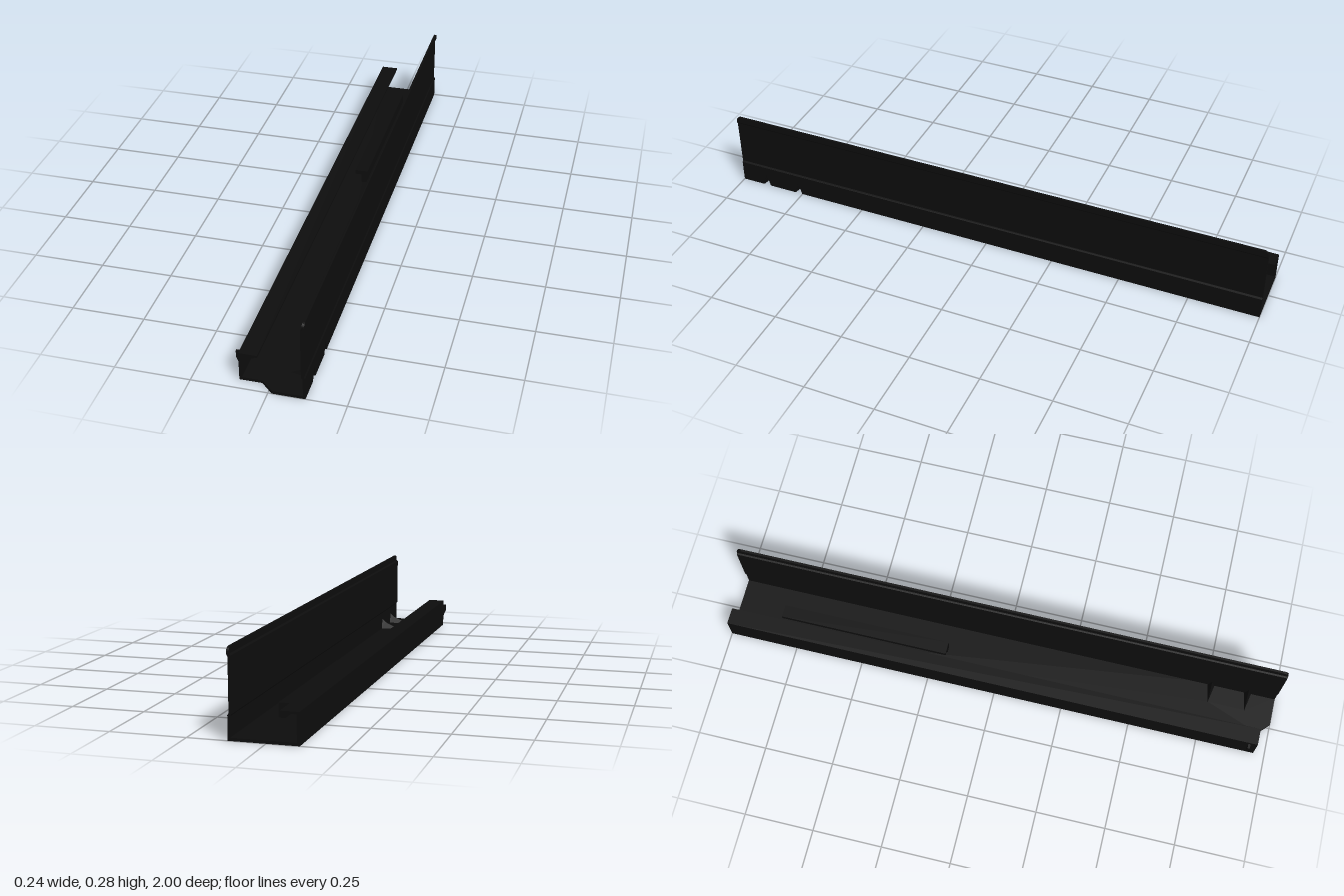
import * as THREE from 'three';

const black = new THREE.MeshStandardMaterial({ color: 0x0d0d0d });
black.name = 'black';
const blackSheet = black;
blackSheet.side = THREE.DoubleSide;

const shapeOf = (pts) => new THREE.Shape(pts.map(([a, b]) => new THREE.Vector2(a, b)));
const extrude = (shape, depth) =>
  new THREE.ExtrudeGeometry(shape, { depth, bevelEnabled: false, curveSegments: 6 });

export function createModel() {
  const group = new THREE.Group();
  const add = (name, geometry) => {
    const mesh = new THREE.Mesh(geometry, black);
    mesh.name = name;
    group.add(mesh);
    return mesh;
  };
  // Cross-section in x,y running from z0 to z1
  const rail = (name, pts, z0, z1) =>
    add(name, extrude(shapeOf(pts), z1 - z0).translate(0, 0, z0));
  // Outline in z,y given a thickness from x0 to x1
  const sidePlate = (name, shape, x0, x1) =>
    add(name, extrude(shape, x1 - x0).rotateY(-Math.PI / 2).translate(x1, 0, 0));

  const dents = [0.765, 0.9];
  const half = 0.014;

  // Floor, with a clipped front corner and triangular cut-outs at the dents
  const floor = [[-0.104, -1], [0.119, -1]];
  for (const z of dents) floor.push([0.119, z - half], [0.045, z], [0.119, z + half]);
  floor.push([0.119, 1], [0.012, 1], [-0.03, 0.96], [-0.104, 0.96]);
  add('floor', extrude(shapeOf(floor), 0.01).rotateX(Math.PI / 2).translate(0, 0.01, 0));

  // Lower strip of the tall wall, cut out at the same places
  const lower = [[-1, 0.078], [-1, 0]];
  for (const z of dents) lower.push([z - half, 0], [z, 0.048], [z + half, 0]);
  lower.push([1, 0], [1, 0.078]);
  sidePlate('wallBase', shapeOf(lower), 0.111, 0.119);

  // Pressed-in stiffening dents across the corner
  for (const z of dents) {
    const foot = [0.043, 0.01, z], mid = [0.097, 0.035, z], top = [0.111, 0.048, z];
    const p = [];
    for (const s of [-1, 1]) {
      const corner = [0.119, 0, z + s * half];
      p.push(...foot, ...mid, ...corner, ...mid, ...top, ...corner);
    }
    const g = new THREE.BufferGeometry();
    g.setAttribute('position', new THREE.Float32BufferAttribute(p, 3));
    g.computeVertexNormals();
    add('stiffeningDent', g);
  }

  // Recessed middle of the tall wall with its two small steps
  rail('wallPanel', [
    [0.111, 0.075], [0.119, 0.078], [0.115, 0.084], [0.115, 0.254],
    [0.119, 0.26], [0.111, 0.262], [0.106, 0.257], [0.106, 0.081],
  ], -1, 1);

  // Top edge with rounded ends
  const r = 0.018;
  const edge = new THREE.Shape();
  edge.moveTo(-1, 0.26);
  edge.lineTo(1, 0.26);
  edge.lineTo(1, 0.283 - r);
  edge.quadraticCurveTo(1, 0.283, 1 - r, 0.283);
  edge.lineTo(-1 + r, 0.283);
  edge.quadraticCurveTo(-1, 0.283, -1, 0.283 - r);
  sidePlate('wallTopEdge', edge, 0.111, 0.119);

  // Low wall folded over into a lip
  rail('lip', [
    [-0.104, 0.01], [-0.095, 0.01], [-0.095, 0.095], [-0.044, 0.095],
    [-0.044, 0.103], [-0.104, 0.103],
  ], -1, 0.96);

  // Latch tab through the low wall, and its inner plate
  rail('latchTab', [
    [-0.104, 0.044], [-0.104, 0.09], [-0.12, 0.09], [-0.12, 0.067], [-0.11, 0.044],
  ], 0.928, 0.936);
  rail('latchPlate', [
    [-0.095, 0.074], [-0.062, 0.074], [-0.062, 0.095], [-0.095, 0.095],
  ], 0.925, 0.94);

  // Angle bar inside the channel
  rail('innerAngle', [
    [0, 0.032], [0.022, 0.032], [0.022, 0.08], [-0.024, 0.08], [-0.024, 0.064], [0, 0.064],
  ], -0.82, -0.2);

  return group;
}
